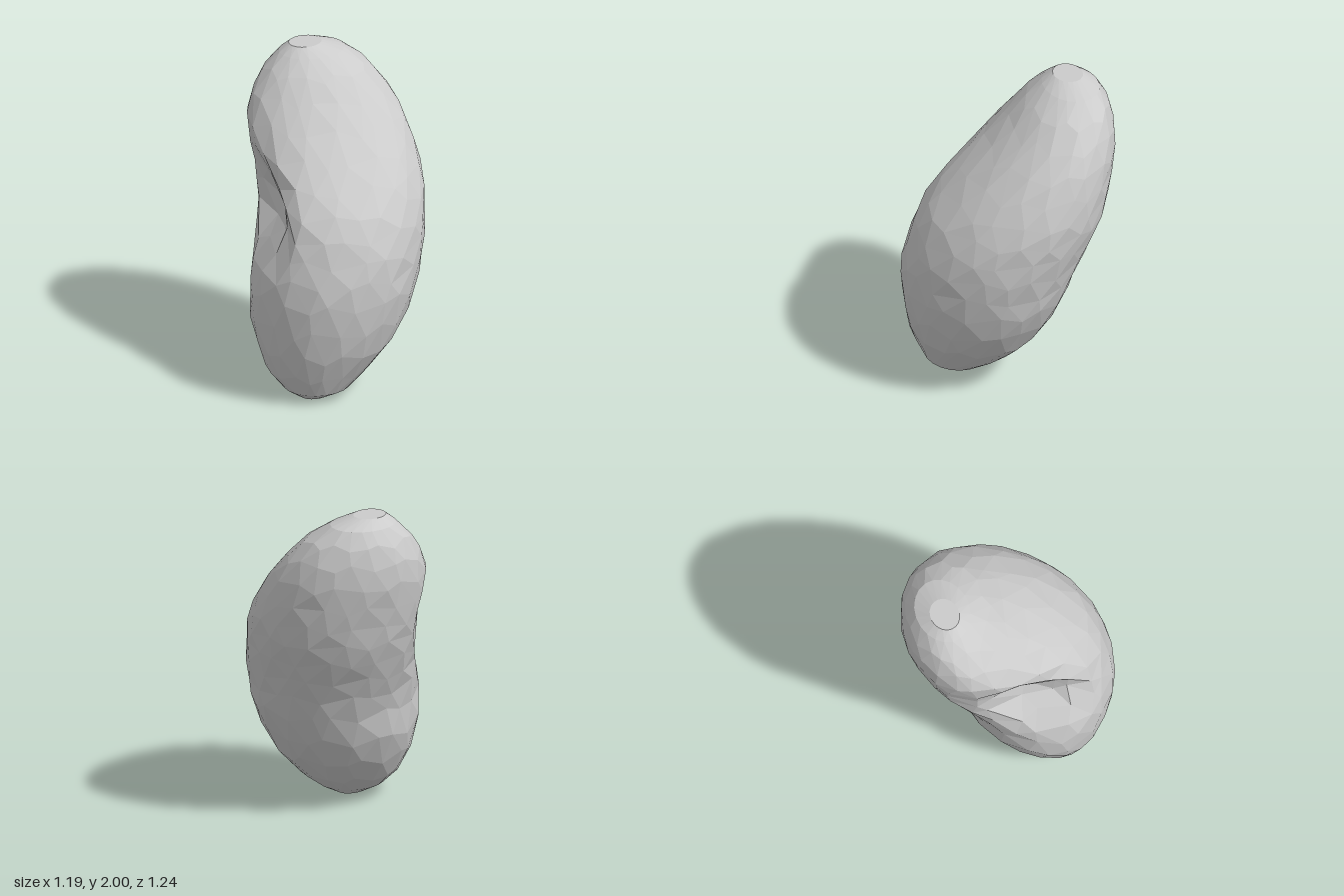
import * as THREE from 'three';

// Horizontal sections: y, xMin, xMax, zMin, zMax, k
// k is the share of the width lying across the bean (0.707 = round)
const SECTIONS = [
  [0, 0.04, 0.20, 0.20, 0.41, 0.74],
  [0.06, -0.07, 0.31, 0.09, 0.495, 0.73],
  [0.17, -0.195, 0.39, -0.07, 0.555, 0.73],
  [0.33, -0.285, 0.495, -0.23, 0.595, 0.725],
  [0.50, -0.345, 0.555, -0.34, 0.615, 0.72],
  [0.68, -0.355, 0.59, -0.425, 0.62, 0.715],
  [0.82, -0.395, 0.595, -0.465, 0.61, 0.71],
  [0.95, -0.445, 0.595, -0.51, 0.58, 0.71],
  [1.08, -0.495, 0.57, -0.555, 0.555, 0.71],
  [1.21, -0.535, 0.525, -0.595, 0.515, 0.72],
  [1.33, -0.56, 0.46, -0.61, 0.44, 0.735],
  [1.46, -0.585, 0.37, -0.615, 0.345, 0.75],
  [1.60, -0.605, 0.255, -0.615, 0.24, 0.77],
  [1.74, -0.595, 0.12, -0.585, 0.14, 0.785],
  [1.86, -0.555, 0, -0.53, 0.045, 0.785],
  [1.95, -0.49, -0.14, -0.44, -0.05, 0.77],
  [2, -0.43, -0.25, -0.31, -0.11, 0.75],
];
const SIDES = 20;
const LAST = SECTIONS.length - 1;

function sectionPoint(row, j) {
  // slide points over the surface so the facets are irregular
  const inner = row > 1 && row < LAST - 1 ? 1 : 0;
  const level = row + inner * 0.2 * Math.sin(j * 2.4 + row * 1.7);
  const low = Math.min(Math.floor(level), LAST - 1);
  const [y, x0, x1, z0, z1, k] = SECTIONS[low].map(
    (v, i) => THREE.MathUtils.lerp(v, SECTIONS[low + 1][i], level - low)
  );
  const slide = inner * 0.2 * Math.sin(j * 1.9 + row * 2.3);
  // alternate rows are staggered by half a step
  const t = ((j + (row % 2) / 2 + slide) / SIDES) * Math.PI * 2;

  const across = k * Math.cos(t), along = Math.sqrt(1 - k * k) * Math.sin(t);
  let x = (x0 + x1) / 2 + ((x1 - x0) / 2) * (across + along);
  let z = (z0 + z1) / 2 + ((z1 - z0) / 2) * (along - across);

  // two full lobes on the inner side with a hollow between them
  const d = (t - Math.PI + 0.18) / 0.37, h = (y - 1.16) / 0.18;
  const dent = Math.exp(-d * d / 2) *
    (0.28 * Math.exp(-h * h / 2) - 0.035 * Math.sin(y * Math.PI / 2));
  x += dent * Math.SQRT1_2;
  z -= dent * Math.SQRT1_2;
  return [x, y, z];
}

export function createModel() {
  const positions = [], index = [];
  for (let i = 0; i <= LAST; i++) {
    for (let j = 0; j < SIDES; j++) positions.push(...sectionPoint(i, j));
  }

  // staggered triangles between neighbouring sections
  for (let i = 0; i < LAST; i++) {
    for (let j = 0; j < SIDES; j++) {
      const n = (j + 1) % SIDES;
      const a = i * SIDES + j, b = i * SIDES + n;
      const c = a + SIDES, d = b + SIDES;
      if (i % 2) index.push(a, c, d, a, d, b);
      else index.push(a, c, b, b, c, d);
    }
  }

  // flat ends
  for (let j = 1; j < SIDES - 1; j++) {
    const t = LAST * SIDES;
    index.push(0, j, j + 1, t, t + j + 1, t + j);
  }

  const geometry = new THREE.BufferGeometry();
  geometry.setAttribute('position', new THREE.Float32BufferAttribute(positions, 3));
  geometry.setIndex(index);
  const faceted = geometry.toNonIndexed();
  faceted.computeVertexNormals();

  const bean = new THREE.Mesh(
    faceted,
    new THREE.MeshStandardMaterial({ color: 0xcccccc, flatShading: true })
  );
  bean.name = 'beanBody';

  const group = new THREE.Group();
  group.name = 'bean';
  group.add(bean);
  return group;
}
